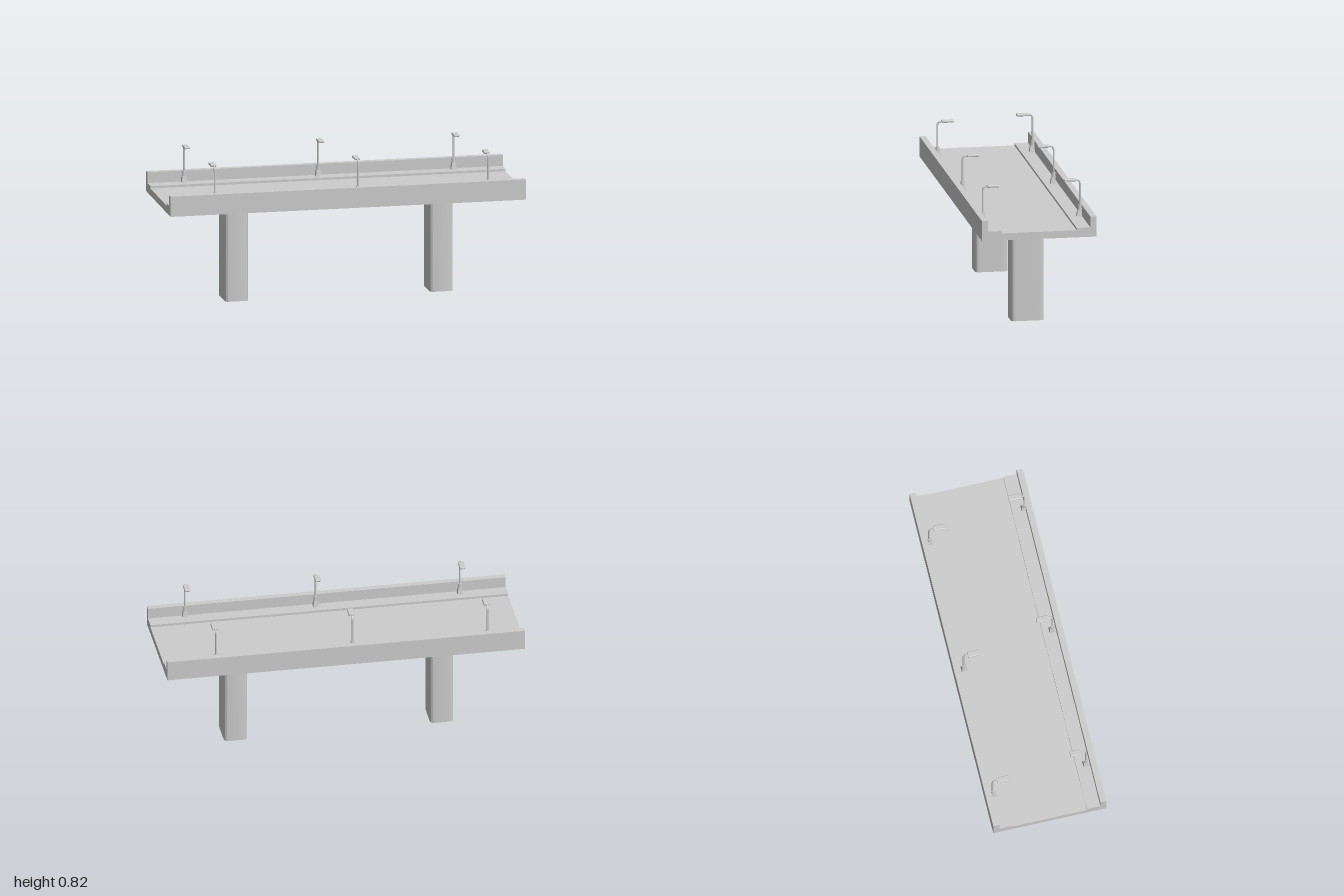
import * as THREE from 'three';
import { toCreasedNormals } from 'three/addons/utils/BufferGeometryUtils.js';
import { RoundedBoxGeometry } from 'three/addons/geometries/RoundedBoxGeometry.js';

const concrete = new THREE.MeshStandardMaterial({ color: 0xcccccc });
concrete.name = 'concrete grey';

function addMesh(parent, name, geometry, x = 0, y = 0, z = 0) {
  const mesh = new THREE.Mesh(geometry, concrete);
  mesh.name = name;
  mesh.position.set(x, y, z);
  parent.add(mesh);
  return mesh;
}

// Deck cross-section with parapets, kerbs and road, swept along x
function deckGeometry() {
  const half = [[0.32, 0.55], [0.32, 0.664], [0.286, 0.664], [0.286, 0.603], [0.21, 0.603], [0.21, 0.59]];
  const mirrored = half.map(([z, y]) => [-z, y]).reverse();
  const shape = new THREE.Shape([...half, ...mirrored].map(([z, y]) => new THREE.Vector2(z, y)));
  return new THREE.ExtrudeGeometry(shape, { depth: 2, bevelEnabled: false })
    .translate(0, 0, -1).rotateY(Math.PI / 2);
}

// Pier with rounded upright edges
function pierGeometry(w, d, h, r) {
  const s = new THREE.Shape();
  const corners = [[1, 1, 0], [-1, 1, 0.5], [-1, -1, 1], [1, -1, 1.5]];
  for (const [sx, sy, turn] of corners) {
    s.absarc(sx * (w / 2 - r), sy * (d / 2 - r), r, turn * Math.PI, (turn + 0.5) * Math.PI, false);
  }
  s.closePath();
  const g = new THREE.ExtrudeGeometry(s, { depth: h, bevelEnabled: false, curveSegments: 6 });
  return toCreasedNormals(g.rotateX(-Math.PI / 2), 0.6);
}

// Street lamp standing at its pole, with the arm reaching along +z
function makeLamp(top) {
  const lamp = new THREE.Group();
  lamp.name = 'streetLamp';

  // Tapered foot and socket
  const foot = new THREE.CylinderGeometry(0.015, 0.022, 0.034, 4).rotateY(Math.PI / 4);
  addMesh(lamp, 'lampFoot', toCreasedNormals(foot, 0.5), 0, 0.62, 0.003);
  addMesh(lamp, 'lampSocket', new THREE.CylinderGeometry(0.01, 0.012, 0.03, 8), 0, 0.65, 0);

  // Pole bending into the arm
  const arm = top - 0.007;
  const path = new THREE.CurvePath();
  const v = (y, z) => new THREE.Vector3(0, y, z);
  path.add(new THREE.LineCurve3(v(0.64, 0), v(arm - 0.024, 0)));
  path.add(new THREE.QuadraticBezierCurve3(v(arm - 0.024, 0), v(arm, 0), v(arm, 0.024)));
  path.add(new THREE.LineCurve3(v(arm, 0.024), v(arm, 0.05)));
  addMesh(lamp, 'lampPole', new THREE.TubeGeometry(path, 40, 0.005, 8));

  // Flat lamp head
  addMesh(lamp, 'lampHead', new RoundedBoxGeometry(0.032, 0.013, 0.066, 2, 0.004), 0, arm, 0.057);
  return lamp;
}

export function createModel() {
  const bridge = new THREE.Group();
  bridge.name = 'bridge';

  addMesh(bridge, 'deck', deckGeometry());

  for (const x of [-0.577, 0.575]) {
    addMesh(bridge, 'pier', pierGeometry(0.13, 0.183, 0.55, 0.022), x, 0, 0.001);
  }

  // Lamps: x, z, top height
  const lamps = [
    [-0.74, 0.266, 0.815], [0.067, 0.266, 0.815], [0.795, 0.28, 0.817],
    [-0.797, -0.276, 0.82], [-0.045, -0.263, 0.822], [0.72, -0.276, 0.815],
  ];
  for (const [x, z, top] of lamps) {
    const lamp = makeLamp(top);
    lamp.position.set(x, 0, z);
    if (z > 0) lamp.rotation.y = Math.PI;
    bridge.add(lamp);
  }
  return bridge;
}
